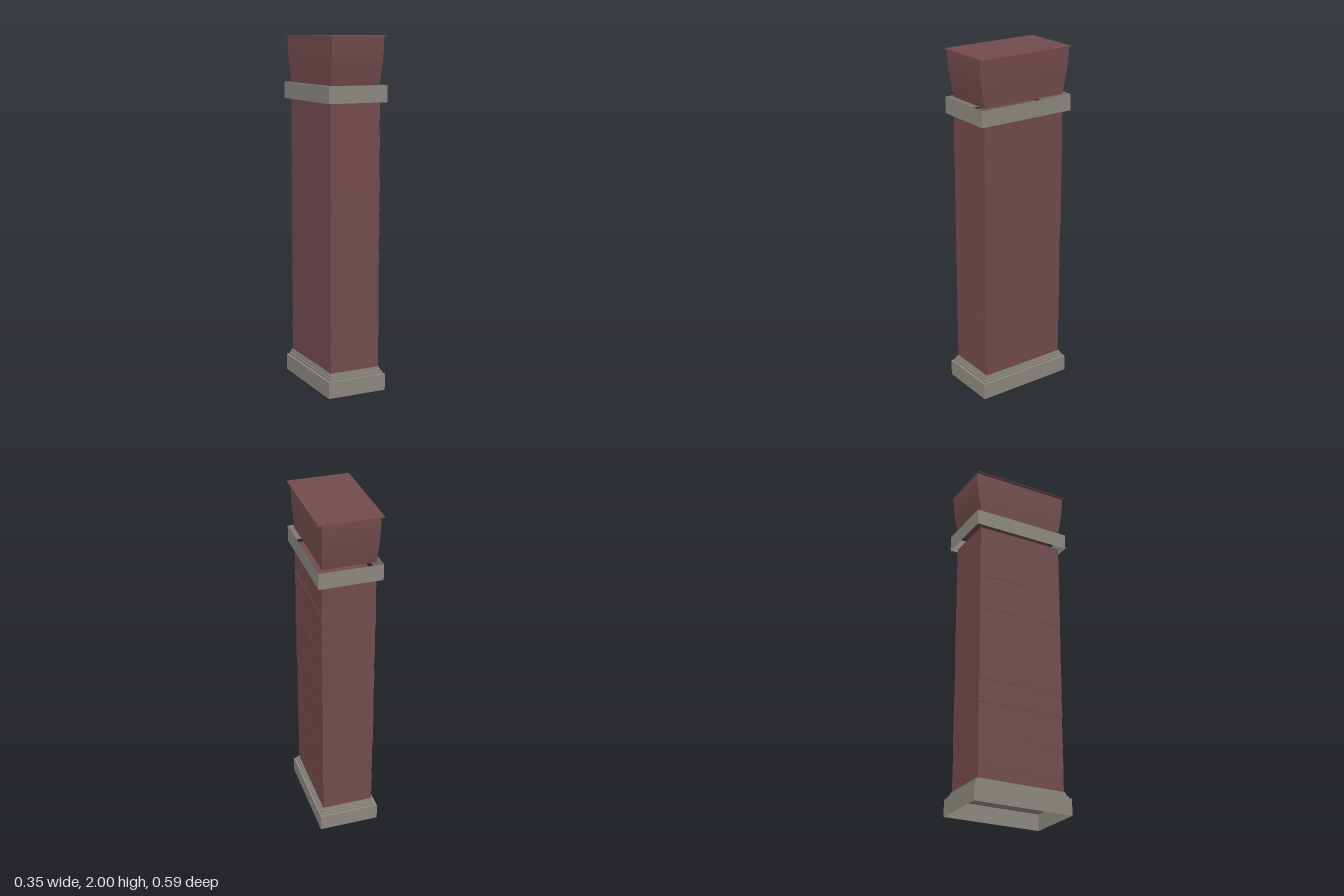
import * as THREE from 'three';

const brick = new THREE.MeshStandardMaterial({ color: 0x734b4e });
brick.name = 'dull red brick';
const stone = new THREE.MeshStandardMaterial({ color: 0x8c8880 });
stone.name = 'grey stone';
stone.side = brick.side = THREE.DoubleSide;

// Box given by half width, half depth, bottom and top heights
function block(name, hx, hz, y0, y1, material) {
  const mesh = new THREE.Mesh(new THREE.BoxGeometry(2 * hx, y1 - y0, 2 * hz), material);
  mesh.position.y = (y0 + y1) / 2;
  mesh.name = name;
  return mesh;
}

// Four upright walls without top or bottom
function band(name, hx, hz, y0, y1, material) {
  const mesh = block(name, hx, hz, y0, y1, material);
  const index = Array.from(mesh.geometry.index.array);
  // box faces run +x, -x, +y, -y, +z, -z, six indices each
  mesh.geometry.setIndex([...index.slice(0, 12), ...index.slice(24)]);
  mesh.geometry.clearGroups();
  return mesh;
}

// Flat horizontal sheet
function sheet(name, hx, hz, y, material) {
  const mesh = new THREE.Mesh(new THREE.PlaneGeometry(2 * hx, 2 * hz).rotateX(-Math.PI / 2), material);
  mesh.position.y = y;
  mesh.name = name;
  return mesh;
}

function seeded(seed) {
  return () => (seed = (seed * 16807) % 2147483647) / 2147483647;
}

export function createModel() {
  const model = new THREE.Group();
  model.name = 'brickPillar';

  // Hollow plinth, open underneath, with three shallow steps on top
  const base = new THREE.Group();
  base.name = 'base';
  base.add(band('plinthWalls', 0.177, 0.295, 0, 0.095, stone));
  base.add(sheet('plinthTop', 0.177, 0.295, 0.095, stone));
  [[0.165, 0.281, 0.095, 0.11], [0.158, 0.273, 0.11, 0.123], [0.153, 0.266, 0.123, 0.133]]
    .forEach(([hx, hz, y0, y1]) => base.add(block('baseStep', hx, hz, y0, y1, stone)));
  model.add(base);

  // Shaft of slightly uneven courses
  const shaft = new THREE.Group();
  shaft.name = 'shaft';
  const random = seeded(71);
  const courses = 18, bottom = 0.133, top = 1.64;
  const step = (top - bottom) / courses;
  let y = bottom;
  for (let i = 0; i < courses; i++) {
    const next = i === courses - 1 ? top : bottom + step * (i + 1 + (random() - 0.5) * 0.6);
    const course = block('course', 0.149 + random() * 0.003, 0.26 + random() * 0.002, y, next, brick);
    course.position.x = (random() - 0.5) * 0.003;
    shaft.add(course);
    y = next;
  }
  model.add(shaft);

  // Open collar ring standing clear of the masonry
  model.add(band('collar', 0.177, 0.295, 1.64, 1.733, stone));

  // Flared head: a box whose rings follow a curved profile
  const head = block('head', 1, 1, 1.733, 2, brick);
  head.geometry.dispose();
  head.geometry = new THREE.BoxGeometry(2, 0.267, 2, 1, 8, 1);
  const p = head.geometry.attributes.position;
  for (let i = 0; i < p.count; i++) {
    const t = p.getY(i) / 0.267 + 0.5;
    const flare = Math.sin(t * Math.PI / 2);
    p.setX(i, p.getX(i) * (0.149 + 0.008 * flare));
    p.setZ(i, p.getZ(i) * (0.259 + 0.034 * flare));
  }
  head.geometry.computeVertexNormals();
  model.add(head);

  // Thin cap overhanging the head
  model.add(block('cap', 0.177, 0.295, 1.997, 2.0, brick));
  return model;
}
